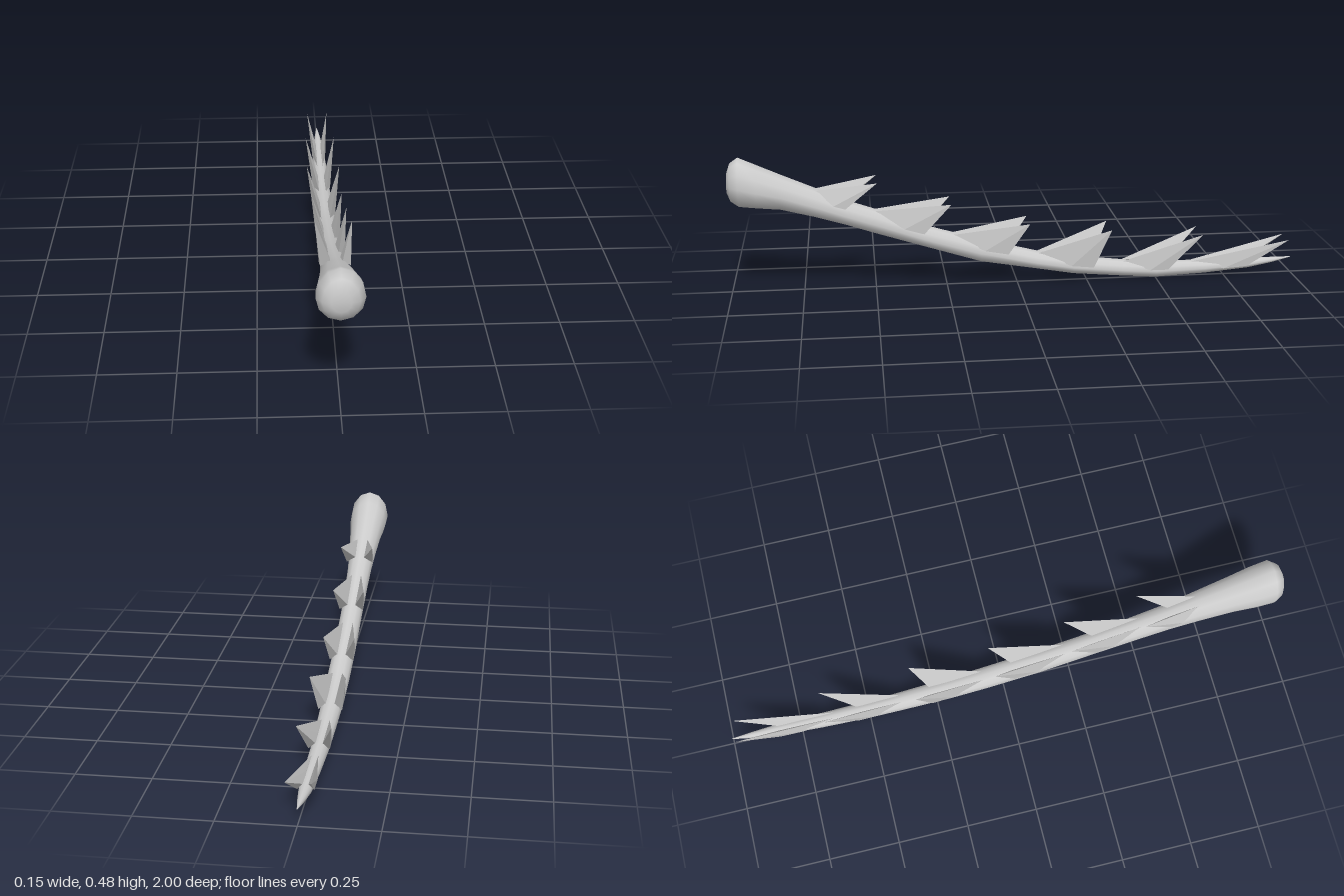
import * as THREE from 'three';
import { ConvexGeometry } from 'three/addons/geometries/ConvexGeometry.js';

const SIDES = 12;
const material = new THREE.MeshStandardMaterial({ color: 0xcccccc, side: THREE.DoubleSide });

// Shaft stations from knob to tip: z, top y, bottom y, half width
const STATIONS = [
  [1.0, 0.43, 0.36, 0.03], [0.988, 0.465, 0.33, 0.056], [0.96, 0.485, 0.31, 0.074],
  [0.9, 0.458, 0.304, 0.072], [0.82, 0.422, 0.297, 0.063], [0.7, 0.37, 0.266, 0.053],
  [0.6, 0.325, 0.236, 0.046], [0.5, 0.29, 0.202, 0.043], [0.33, 0.225, 0.148, 0.04],
  [0.13, 0.168, 0.085, 0.04], [-0.07, 0.116, 0.052, 0.04], [-0.2, 0.092, 0.029, 0.038],
  [-0.38, 0.072, 0.013, 0.034], [-0.5, 0.062, 0.004, 0.031], [-0.68, 0.06, 0.012, 0.027],
  [-0.84, 0.06, 0.026, 0.021], [-0.93, 0.061, 0.042, 0.011], [-1.0, 0.061, 0.059, 0.001],
];

// Loft egg-shaped rings along the curved shaft, with a closed cap at each end
function shaftGeometry() {
  const pos = [], index = [];
  for (const [z, top, bottom, w] of STATIONS) {
    const mid = bottom + (top - bottom) * 0.45;
    for (let i = 0; i < SIDES; i++) {
      const a = (i / SIDES) * Math.PI * 2;
      const s = Math.sin(a);
      pos.push(Math.cos(a) * w, mid + s * (s > 0 ? top - mid : mid - bottom), z);
    }
  }
  for (let r = 0; r < STATIONS.length - 1; r++) {
    for (let i = 0; i < SIDES; i++) {
      const j = (i + 1) % SIDES;
      const a = r * SIDES + i, b = r * SIDES + j;
      const c = a + SIDES, d = b + SIDES;
      index.push(a, c, b, b, c, d);
    }
  }
  const front = pos.length / 3;
  pos.push(0, 0.395, 1.0);
  for (let i = 0; i < SIDES; i++) index.push(front, i, (i + 1) % SIDES);
  const last = (STATIONS.length - 1) * SIDES;
  for (let i = 1; i < SIDES - 1; i++) index.push(last, last + i + 1, last + i);
  const g = new THREE.BufferGeometry();
  g.setAttribute('position', new THREE.Float32BufferAttribute(pos, 3));
  g.setIndex(index);
  g.computeVertexNormals();
  return g;
}

// Barbs: root z,y / tip z,y / rear foot z,y / tip x / shaft half width
const BARBS = [
  [0.7, 0.368, 0.49, 0.395, 0.6, 0.325, 0.06, 0.048],
  [0.5, 0.288, 0.235, 0.31, 0.33, 0.225, 0.056, 0.042],
  [0.24, 0.192, -0.04, 0.23, 0.035, 0.14, 0.055, 0.04],
  [-0.07, 0.114, -0.33, 0.2, -0.27, 0.08, 0.061, 0.039],
  [-0.38, 0.073, -0.66, 0.17, -0.54, 0.06, 0.056, 0.033],
  [-0.62, 0.06, -0.98, 0.135, -0.83, 0.06, 0.04, 0.025],
];

// Thin swept-back blade rising from the shoulder of the shaft
function barbGeometry([rz, ry, tz, ty, fz, fy, tx, w], side) {
  const mix = (t) => [rz + (fz - rz) * t, ry + (fy - ry) * t];
  const [mz, my] = mix(0.6);
  const points = [
    [w * 0.4, ry - 0.004, rz],
    [w * 1.0, my - 0.028, mz],
    [w * 1.05, fy - 0.022, fz],
    [w * 0.35, fy - 0.003, fz],
    [w * 0.4, my, mz],
    [tx, ty, tz],
  ];
  return new ConvexGeometry(points.map(([x, y, z]) => new THREE.Vector3(x * side, y, z)));
}

export function createModel() {
  const group = new THREE.Group();
  group.name = 'barbedLimb';

  const shaft = new THREE.Mesh(shaftGeometry(), material);
  shaft.name = 'shaft';
  group.add(shaft);

  // Mirrored rows of barbs
  for (const side of [1, -1]) {
    const row = new THREE.Group();
    row.name = side > 0 ? 'leftBarbs' : 'rightBarbs';
    BARBS.forEach((b, i) => {
      const barb = new THREE.Mesh(barbGeometry(b, side), material);
      barb.name = 'barb' + (i + 1);
      row.add(barb);
    });
    group.add(row);
  }
  return group;
}
